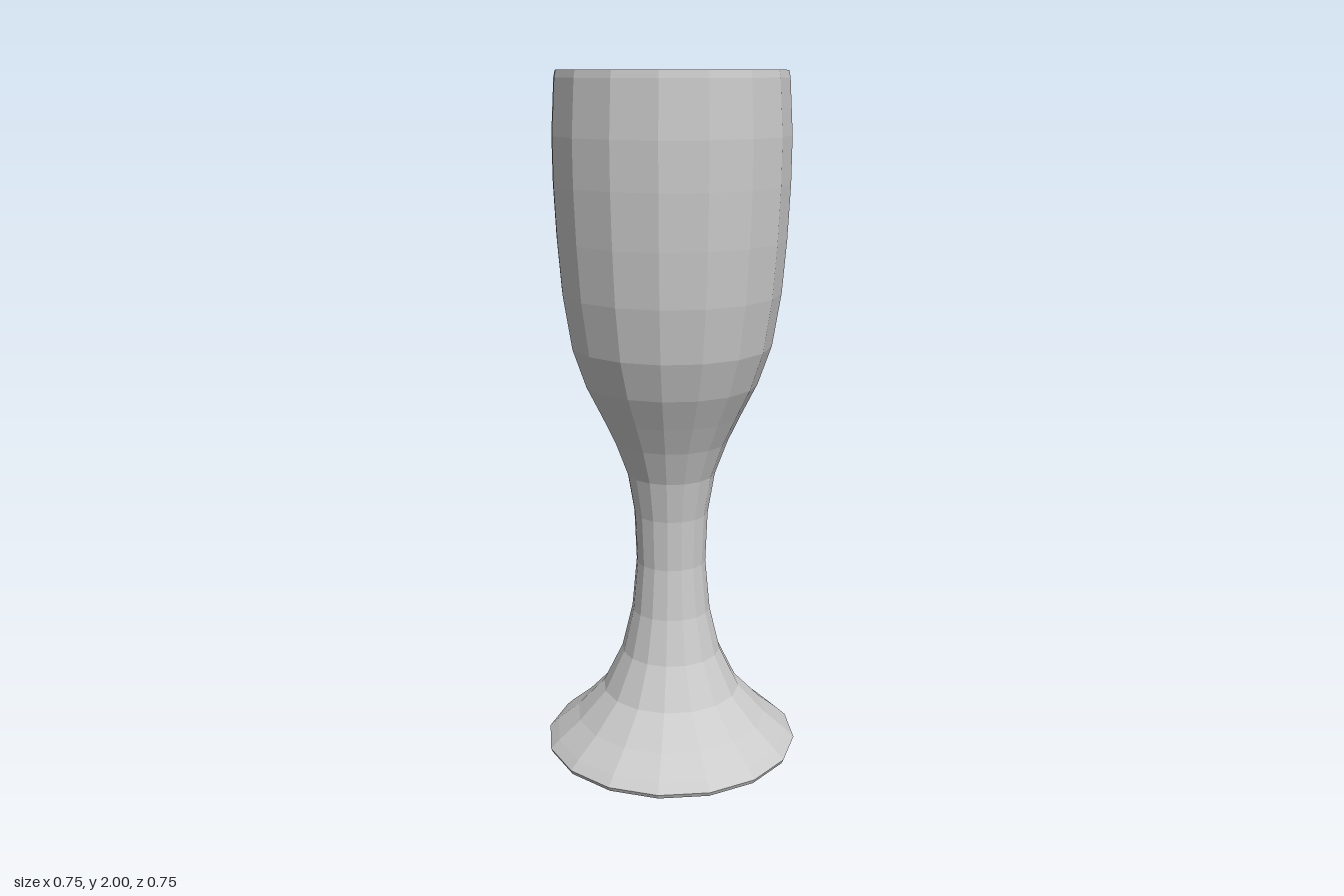
import * as THREE from 'three';

const SIDES = 16;

// Floor of the bowl: maps grid coordinates u, v in [-1, 1] to a rounded square dish
function dish(u, v) {
  const bend = 0.028 * u * u * v * v;
  const x = u * (0.2 - 0.017 * u * u - bend);
  const z = v * (0.2 - 0.017 * v * v - bend);
  return [x, 1.0 + 2 * (x * x + z * z), z];
}

export function createModel() {
  const group = new THREE.Group();
  group.name = 'goblet';
  const material = new THREE.MeshStandardMaterial({ color: 0xcccccc, flatShading: true });

  const addPart = (name, geometry) => {
    geometry.computeVertexNormals();
    const mesh = new THREE.Mesh(geometry, material);
    mesh.name = name;
    group.add(mesh);
  };
  const turn = (profile) =>
    new THREE.LatheGeometry(profile.map(([r, y]) => new THREE.Vector2(r, y)), SIDES);

  // Foot with a shallow underside and a thin edge
  addPart('foot', turn([
    [0, 0], [0.2, 0.007], [0.37, 0.022], [0.376, 0.035],
    [0.35, 0.06], [0.285, 0.115], [0.205, 0.2],
  ]));

  // Waisted stem
  addPart('stem', turn([
    [0.205, 0.2], [0.147, 0.32], [0.116, 0.45], [0.102, 0.6],
    [0.108, 0.75], [0.128, 0.87], [0.165, 0.97],
  ]));

  // Outer wall of the bowl, rolling over the rim
  addPart('bowlOutside', turn([
    [0.165, 0.97], [0.203, 1.05], [0.248, 1.14], [0.286, 1.25], [0.31, 1.4],
    [0.322, 1.55], [0.329, 1.7], [0.33, 1.83], [0.321, 1.98], [0.317, 2], [0.312, 1.99],
  ]));

  // Inner wall, its lowest ring reshaped to meet the dish
  const inner = [
    [0.312, 1.99], [0.317, 1.83], [0.316, 1.7], [0.309, 1.55],
    [0.296, 1.4], [0.272, 1.26], [0.237, 1.16], [0.183, 1.067],
  ];
  const wall = turn(inner);
  const p = wall.attributes.position;
  for (let i = inner.length - 1; i < p.count; i += inner.length) {
    const x = p.getX(i), z = p.getZ(i);
    const m = Math.max(Math.abs(x), Math.abs(z));
    const snap = (t) => Math.round((2 * t) / m) / 2;
    p.setXYZ(i, ...dish(snap(x), snap(z)));
  }
  addPart('bowlInside', wall);

  // Gridded floor of the bowl
  const floor = new THREE.PlaneGeometry(2, 2, 4, 4).rotateX(-Math.PI / 2);
  const q = floor.attributes.position;
  for (let i = 0; i < q.count; i++) q.setXYZ(i, ...dish(q.getX(i), q.getZ(i)));
  addPart('bowlFloor', floor);

  return group;
}
